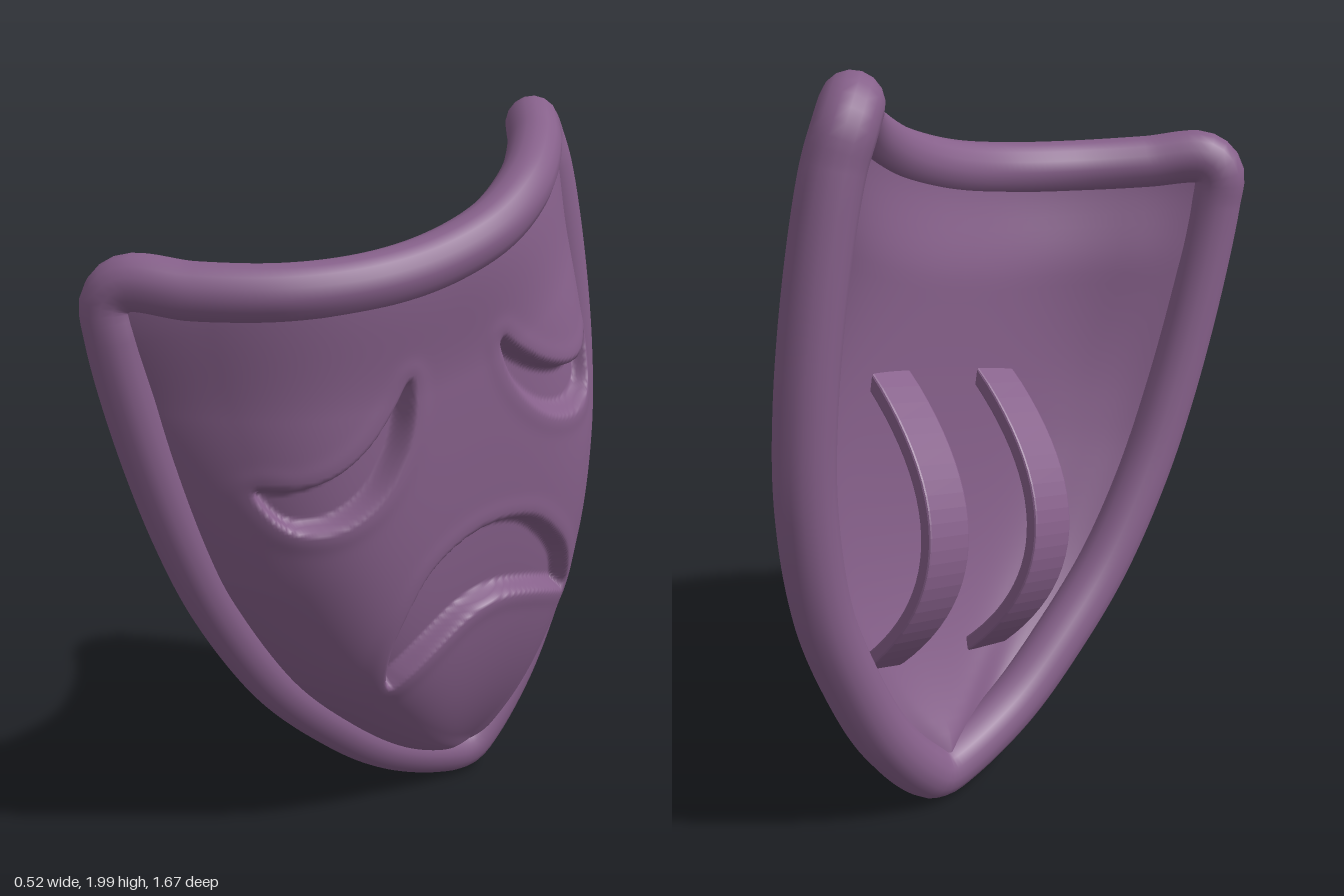
import * as THREE from 'three';

// Local frame: x = outward, y = up the shield from its tip, z = across it
const TILT = 0.2155;
const { smoothstep, clamp } = THREE.MathUtils;
const purple = new THREE.MeshStandardMaterial({ color: 0x86608a });
purple.name = 'purple';

// Half width of the shield at each height (height, half width)
const sideProfile = new THREE.SplineCurve([
  [0, 0], [0.035, 0.09], [0.15, 0.25], [0.32, 0.4], [0.53, 0.54], [0.8, 0.645],
  [1.0, 0.69], [1.36, 0.725], [1.6, 0.725], [1.77, 0.69],
].map(([s, v]) => new THREE.Vector2(s, v))).getPoints(120);

function halfWidth(s) {
  let i = 1;
  while (i < sideProfile.length - 1 && sideProfile[i].x < s) i++;
  const a = sideProfile[i - 1], b = sideProfile[i];
  return a.y + (b.y - a.y) * (s - a.x) / (b.x - a.x);
}

// Top edge, a little straighter on the raised side
const topHeight = (t) => 1.603 + (t > 0 ? 0.13 * t * t : 0.145 * t * t + 0.035 * Math.sin(-Math.PI * t) * -t);

// Point on the curved shield: height s, t from -1 to 1 across; fuller below, rounder at the top
function shieldPoint(s, t) {
  const power = 4.3 - 1.9 * smoothstep(s, 1.0, 1.7);
  const depth = 0.367 * (1 - Math.exp(-s / 0.4));
  const x = -0.12 - 0.035 * s + depth * (1 - Math.abs(t) ** power);
  return new THREE.Vector3(x, s, t * halfWidth(s) - 0.025 * Math.exp(-s / 0.08));
}

// Crescent outlines (height, across)
const smoothLoop = (points) => new THREE.CatmullRomCurve3(
  points.map(([s, v]) => new THREE.Vector3(s, v, 0)), true, 'centripetal').getPoints(60).slice(0, 60);
const mirror = (points) => points.map(([s, v]) => [s, -v]);
const eye = [
  [1.34, 0.157], [1.25, 0.166], [1.149, 0.219], [1.066, 0.309], [1.029, 0.42], [1.05, 0.517],
  [1.122, 0.563], [1.175, 0.572], [1.158, 0.494], [1.168, 0.4], [1.217, 0.297], [1.29, 0.209],
];
const mouthHalf = [
  [0.8, 0.173], [0.708, 0.265], [0.597, 0.325], [0.478, 0.33],
  [0.506, 0.278], [0.555, 0.19], [0.6, 0.08],
];
const mouth = [[0.845, 0], ...mouthHalf, [0.61, 0], ...mirror(mouthHalf).reverse()];
const recesses = [eye, mirror(eye), mouth].map(smoothLoop);

// Signed distance to a loop, positive inside
function insideDistance(loop, s, v) {
  let best = Infinity, inside = false;
  for (let i = 0, j = loop.length - 1; i < loop.length; j = i++) {
    const a = loop[i], b = loop[j];
    const ex = b.x - a.x, ey = b.y - a.y;
    const k = clamp(((s - a.x) * ex + (v - a.y) * ey) / (ex * ex + ey * ey || 1), 0, 1);
    best = Math.min(best, Math.hypot(s - a.x - k * ex, v - a.y - k * ey));
    if ((a.y > v) !== (b.y > v) && s < a.x + (v - a.y) / ey * ex) inside = !inside;
  }
  return inside ? best : -best;
}

// Sunken eyes and mouth with a slightly raised lip
function carve(s, v) {
  let x = 0;
  for (const loop of recesses) {
    const d = insideDistance(loop, s, v);
    x -= 0.06 * smoothstep(d, -0.008, 0.022);
    x += 0.003 * Math.exp(-(((d + 0.03) / 0.025) ** 2));
  }
  return x;
}

// One face of the shield as a grid, blended into the rim along its border
function sheet(rows, cols, facesOut) {
  const positions = [], index = [];
  for (let i = 0; i <= rows; i++) {
    for (let j = 0; j <= cols; j++) {
      const t = (j / cols) * 2 - 1;
      const top = topHeight(t);
      const p = shieldPoint((0.01 + 0.99 * i / rows) * top, t);
      const belowTop = top - p.y;
      const fromSide = (1 - Math.abs(t)) * halfWidth(p.y);
      const offset = facesOut
        ? 0.055 - 0.035 * smoothstep(belowTop, 0, 0.32) + 0.012 * (1 - smoothstep(fromSide, 0, 0.15)) + carve(p.y, p.z)
        : -0.05 - 0.055 * smoothstep(belowTop, 0, 0.3) * smoothstep(fromSide, 0, 0.2);
      positions.push(p.x + offset, p.y, p.z);
      if (i < rows && j < cols) {
        const a = i * (cols + 1) + j, b = a + cols + 1;
        if (facesOut) index.push(a, b, a + 1, b, b + 1, a + 1);
        else index.push(a, a + 1, b, b, a + 1, b + 1);
      }
    }
  }
  const geometry = new THREE.BufferGeometry();
  geometry.setAttribute('position', new THREE.Float32BufferAttribute(positions, 3));
  geometry.setIndex(index);
  geometry.computeVertexNormals();
  return geometry;
}

// Rounded rim around the whole outline
function rimGeometry() {
  const side = (sign) => [0.03, 0.15, 0.32, 0.53, 0.8, 1.05, 1.36, 1.6, 1.69].map((s) => shieldPoint(s, sign));
  const top = [0.96, 0.8, 0.55, 0.28, 0, -0.28, -0.55, -0.8, -0.96].map((t) => shieldPoint(topHeight(t), t));
  const path = new THREE.CatmullRomCurve3(
    [shieldPoint(0, 0), ...side(1), ...top, ...side(-1).reverse()], true, 'centripetal');
  return new THREE.TubeGeometry(path, 260, 0.075, 16, true);
}

// Bowed arm strap
function strapGeometry() {
  const shape = new THREE.Shape();
  shape.moveTo(-0.02, 0.28);
  shape.quadraticCurveTo(-0.46, 0.685, 0.08, 1.07);
  shape.lineTo(0.08, 1.035);
  shape.quadraticCurveTo(-0.41, 0.685, -0.02, 0.315);
  const geometry = new THREE.ExtrudeGeometry(shape, {
    depth: 0.13, curveSegments: 24, bevelSize: 0.006, bevelThickness: 0.006, bevelSegments: 2,
  });
  return geometry.translate(0, 0, -0.065);
}

export function createModel() {
  const shield = new THREE.Group();
  shield.name = 'shield';
  const add = (name, geometry) => {
    const mesh = new THREE.Mesh(geometry, purple);
    mesh.name = name;
    shield.add(mesh);
    return mesh;
  };
  add('faceFront', sheet(170, 180, true));
  add('faceBack', sheet(50, 60, false));
  add('rim', rimGeometry());
  const strap = strapGeometry();
  add('leftStrap', strap).position.z = 0.19;
  add('rightStrap', strap).position.z = -0.21;

  shield.rotation.x = TILT;
  const model = new THREE.Group();
  model.name = 'maskShield';
  model.add(shield);

  // Stand on the ground, centred
  const box = new THREE.Box3().setFromObject(model, true);
  const centre = box.getCenter(new THREE.Vector3());
  shield.position.set(-centre.x, -box.min.y, -centre.z);
  return model;
}
